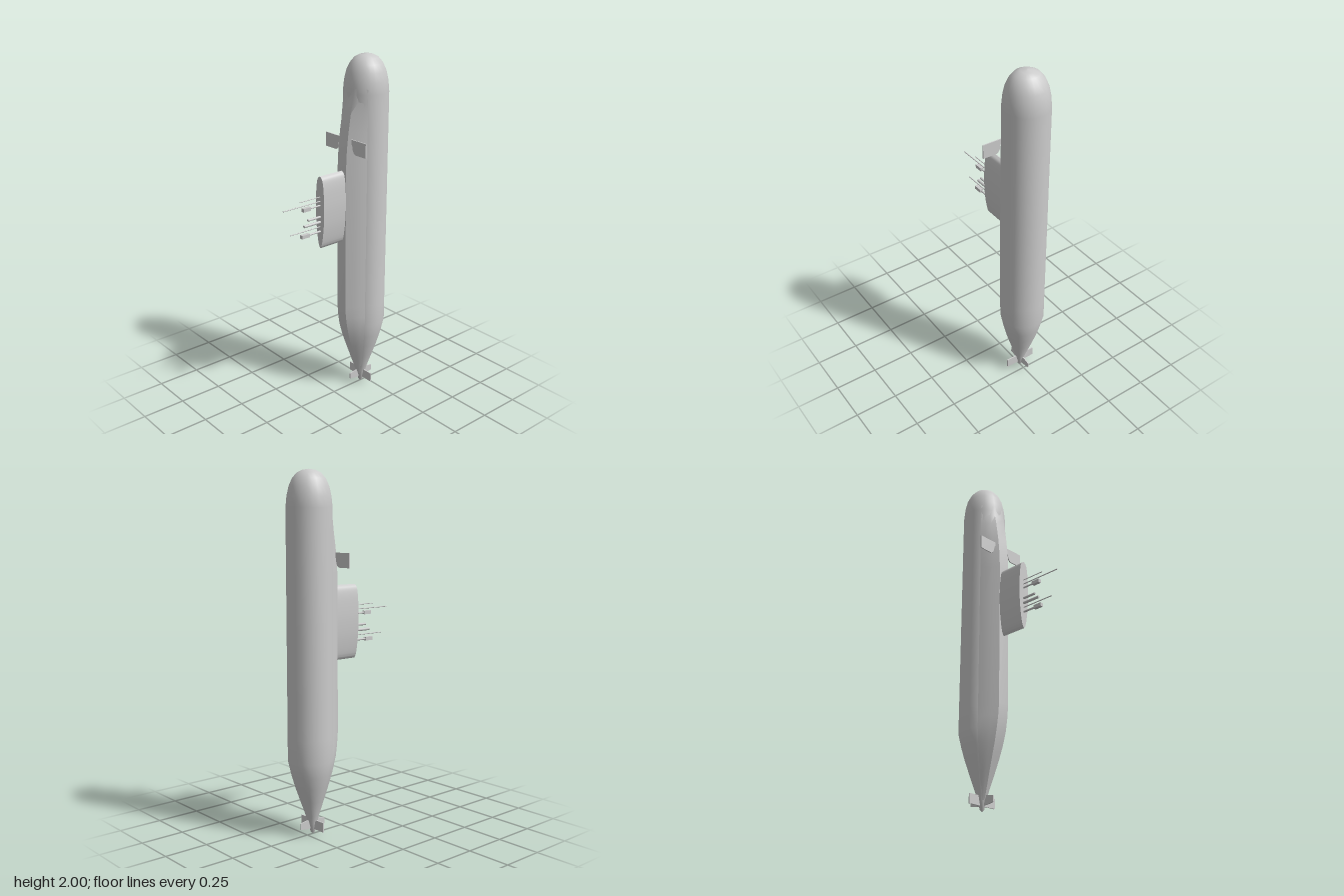
import * as THREE from 'three';
import { toCreasedNormals } from 'three/addons/utils/BufferGeometryUtils.js';

const grey = new THREE.MeshStandardMaterial({ color: 0xcccccc });

// Hull axis: z position drifts forward slightly toward the tail
const axisZ = (y) => -0.225 + 0.015 * Math.max(0, 1 - y / 0.43);

// Hull profile: [radius, y]
const hullProfile = [
  [0, 0], [0.012, 0.012], [0.024, 0.06], [0.037, 0.11], [0.066, 0.2], [0.091, 0.28],
  [0.109, 0.35], [0.125, 0.43], [0.125, 0.56], [0.125, 1.2], [0.125, 1.8], [0.119, 1.86],
  [0.108, 1.91], [0.09, 1.95], [0.065, 1.98], [0.035, 1.995], [0, 2],
];

// Deck casing stations: [y, width scale, top z]
const casingStations = [
  [0.06, 0.19, -0.186], [0.11, 0.29, -0.17], [0.2, 0.53, -0.14], [0.28, 0.73, -0.113],
  [0.35, 0.88, -0.09], [0.43, 1, -0.07], [0.49, 1, -0.061], [0.56, 1, -0.055], [1.4, 1, -0.055],
  [1.5, 1, -0.06], [1.6, 1, -0.071], [1.7, 1, -0.087], [1.76, 1, -0.098], [1.83, 0.98, -0.106],
];
// Casing half section: [x, fraction of height]
const casingHalf = [[0.1, 0], [0.085, 0.3], [0.06, 0.68], [0.035, 1]];

function add(group, name, geometry, x = 0, y = 0, z = 0) {
  const mesh = new THREE.Mesh(geometry, grey);
  mesh.name = name;
  mesh.position.set(x, y, z);
  group.add(mesh);
  return mesh;
}

function hullGeometry() {
  const g = new THREE.LatheGeometry(hullProfile.map(([r, y]) => new THREE.Vector2(r, y)), 24);
  const p = g.attributes.position;
  for (let i = 0; i < p.count; i++) p.setZ(i, p.getZ(i) + axisZ(p.getY(i)));
  return g;
}

function casingGeometry() {
  const section = [
    ...casingHalf.map(([x, t]) => [-x, t]),
    ...casingHalf.slice().reverse(),
  ];
  const n = section.length, pos = [], index = [];
  casingStations.forEach(([y, k, top], row) => {
    const base = axisZ(y) + 0.075 * k;
    section.forEach(([x, t], i) => {
      pos.push(x * k, y, base + (top - base) * t);
      if (row && i) {
        const b = row * n + i, a = b - n;
        index.push(a - 1, a, b, a - 1, b, b - 1);
      }
    });
  });
  const g = new THREE.BufferGeometry();
  g.setAttribute('position', new THREE.Float32BufferAttribute(pos, 3));
  g.setIndex(index);
  return toCreasedNormals(g, 0.6);
}

// Plate cut from an outline in the xy plane, centred on its thickness
function plate(points, thickness) {
  const shape = new THREE.Shape(points.map(([x, y]) => new THREE.Vector2(x, y)));
  const g = new THREE.ExtrudeGeometry(shape, { depth: thickness, bevelEnabled: false });
  return g.translate(0, 0, -thickness / 2);
}

function sailGeometry() {
  // Teardrop plan: blunt leading edge at the top, slim trailing edge below
  const right = [
    [0.012, 0.985], [0.022, 1.03], [0.031, 1.1], [0.035, 1.18], [0.034, 1.25],
    [0.029, 1.32], [0.019, 1.365],
  ].map(([x, y]) => new THREE.Vector2(x, y));
  const shape = new THREE.Shape();
  shape.moveTo(0, 0.965);
  shape.splineThru([...right, new THREE.Vector2(0, 1.382)]);
  shape.splineThru([
    ...right.slice().reverse().map((v) => new THREE.Vector2(-v.x, v.y)),
    new THREE.Vector2(0, 0.965),
  ]);
  const g = new THREE.ExtrudeGeometry(shape, { depth: 0.2, bevelEnabled: false, curveSegments: 4 });
  return toCreasedNormals(g.translate(0, 0, -0.1), 0.6);
}

export function createModel() {
  const model = new THREE.Group();
  model.name = 'submarine';

  add(model, 'hull', hullGeometry());
  add(model, 'deckCasing', casingGeometry());
  add(model, 'sail', sailGeometry());

  // Bow planes, rounded at the lower inner corner
  for (const [side, name] of [[1, 'leftBowPlane'], [-1, 'rightBowPlane']]) {
    const outline = [
      [0.04, 1.562], [0.163, 1.562], [0.163, 1.482], [0.08, 1.482],
      [0.068, 1.49], [0.06, 1.505], [0.055, 1.53], [0.04, 1.55],
    ].map(([x, y]) => [side * x, y]);
    add(model, name, plate(outline, 0.006), 0, 0, -0.083);
  }

  // Four tail fins in a cross
  const fins = new THREE.Group();
  fins.name = 'tailFins';
  fins.position.z = -0.212;
  model.add(fins);
  ['leftFin', 'backFin', 'rightFin', 'frontFin'].forEach((name, i) => {
    const upright = i % 2 === 1;
    const tip = upright ? 0.085 : 0.093;
    const outline = upright
      ? [[0, 0.034], [0.04, 0.034], [tip, 0.042], [tip, 0.076], [0.04, 0.084], [0, 0.084]]
      : [[0, 0.032], [tip, 0.032], [tip, 0.086], [0, 0.086]];
    add(fins, name, plate(outline, 0.007)).rotation.y = i * Math.PI / 2;
  });

  // Masts: [y, rod end z, rod radius, head end z, head size]
  const masts = [
    [1.265, 0.24, 0.0025], [1.24, 0.35, 0.003], [1.216, 0.18, 0.005, 0.22, 0.02],
    [1.15, 0.185, 0.007], [1.12, 0.212, 0.008], [1.093, 0.305, 0.003],
    [1.065, 0.19, 0.006, 0.232, 0.02],
  ];
  masts.forEach(([y, end, r, headEnd, size], i) => {
    const mast = new THREE.Group();
    mast.name = 'mast' + (i + 1);
    mast.position.y = y;
    model.add(mast);
    const length = end - 0.09;
    const rod = new THREE.CylinderGeometry(r, r, length, 8).rotateX(Math.PI / 2);
    add(mast, 'mastRod', rod, 0, 0, 0.09 + length / 2);
    if (headEnd) {
      const depth = headEnd - end + 0.01;
      add(mast, 'mastHead', new THREE.BoxGeometry(size, size, depth), 0, 0, headEnd - depth / 2);
    }
  });

  return model;
}
